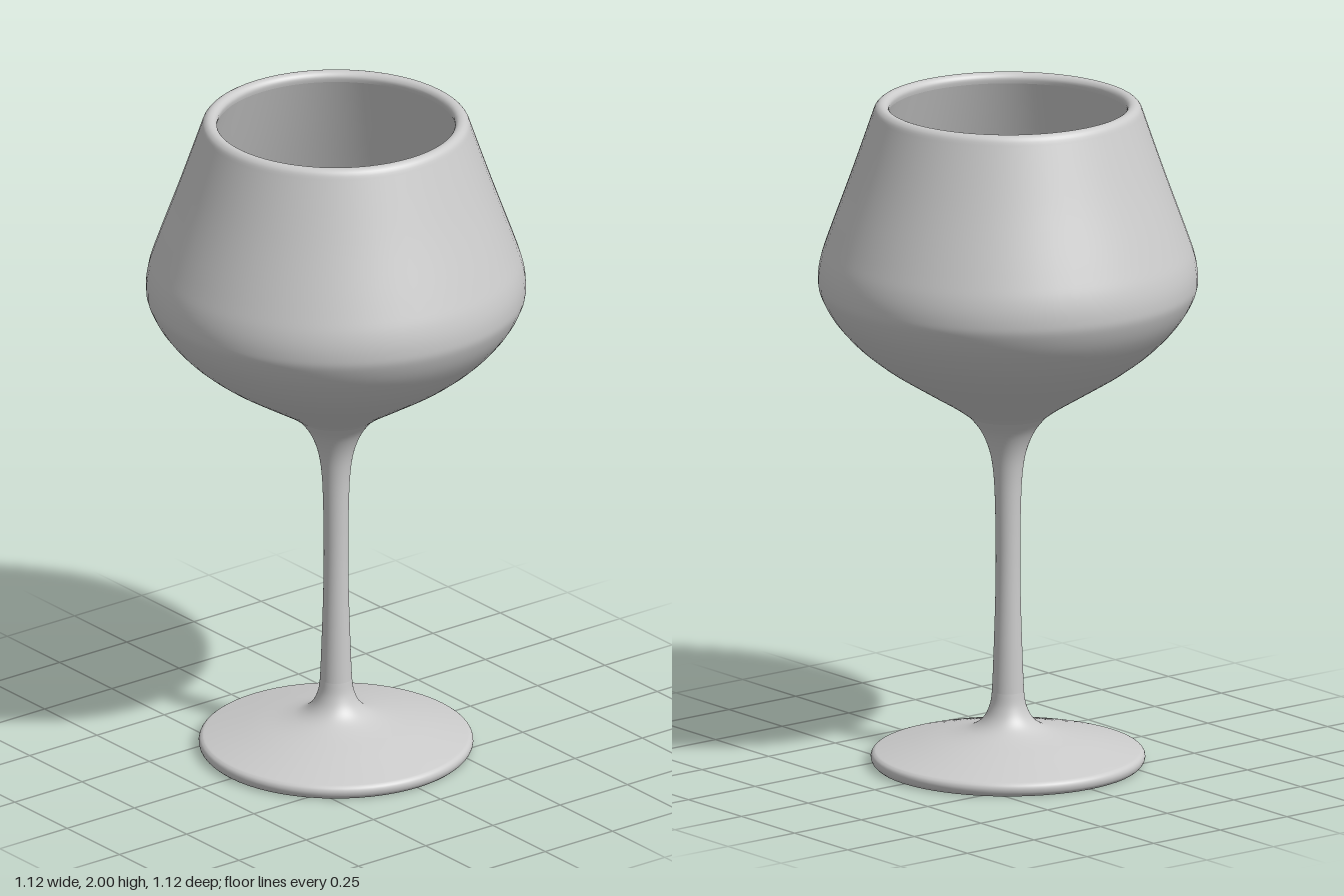
import * as THREE from 'three';

const SEGMENTS = 64;
const material = new THREE.MeshStandardMaterial({ color: 0xcccccc });

// Smooth curve through [radius, height] pairs, sampled finely
function curve(pairs, samples) {
  const points = pairs.map(([r, y]) => new THREE.Vector2(r, y));
  const sampled = new THREE.SplineCurve(points).getPoints(samples);
  sampled.forEach((p) => { p.x = Math.max(p.x, 0); });
  return sampled;
}

function turned(name, profile) {
  const mesh = new THREE.Mesh(new THREE.LatheGeometry(profile, SEGMENTS), material);
  mesh.name = name;
  return mesh;
}

export function createModel() {
  const glass = new THREE.Group();
  glass.name = 'wineGlass';

  // Flat underside
  const underside = new THREE.Mesh(new THREE.CircleGeometry(0.39, SEGMENTS), material);
  underside.name = 'footUnderside';
  underside.rotation.x = Math.PI / 2;
  glass.add(underside);

  // Foot: rounded edge, then a shallow cone sweeping up to the stem
  glass.add(turned('foot', curve([
    [0.39, 0], [0.4, 0.01], [0.403, 0.025], [0.395, 0.038], [0.37, 0.046],
    [0.25, 0.075], [0.15, 0.097], [0.1, 0.115], [0.07, 0.142], [0.053, 0.18], [0.047, 0.22],
  ], 50)));

  // Stem: slightly waisted, flaring into the bowl
  glass.add(turned('stem', curve([
    [0.047, 0.22], [0.043, 0.32], [0.038, 0.48], [0.036, 0.62], [0.038, 0.78],
    [0.043, 0.88], [0.055, 0.95], [0.08, 1.01], [0.115, 1.055],
  ], 40)));

  // Bowl: outer wall
  glass.add(turned('bowlOuter', curve([
    [0.115, 1.055], [0.165, 1.09], [0.25, 1.142], [0.36, 1.212], [0.45, 1.285],
    [0.515, 1.36], [0.55, 1.425], [0.558, 1.47], [0.551, 1.53], [0.525, 1.61],
    [0.46, 1.79], [0.398, 1.97],
  ], 60)));

  // Rounded rim
  glass.add(turned('rim', curve([
    [0.398, 1.97], [0.391, 1.988], [0.38, 1.998], [0.368, 2], [0.357, 1.996], [0.35, 1.985], [0.352, 1.97],
  ], 18)));

  // Bowl: inner wall, down to the centre
  glass.add(turned('bowlInner', curve([
    [0.352, 1.97], [0.42, 1.78], [0.485, 1.6], [0.511, 1.52], [0.516, 1.47],
    [0.507, 1.43], [0.475, 1.375], [0.415, 1.31], [0.33, 1.242], [0.225, 1.173],
    [0.13, 1.12], [0.06, 1.093], [0, 1.085],
  ], 60)));

  return glass;
}
